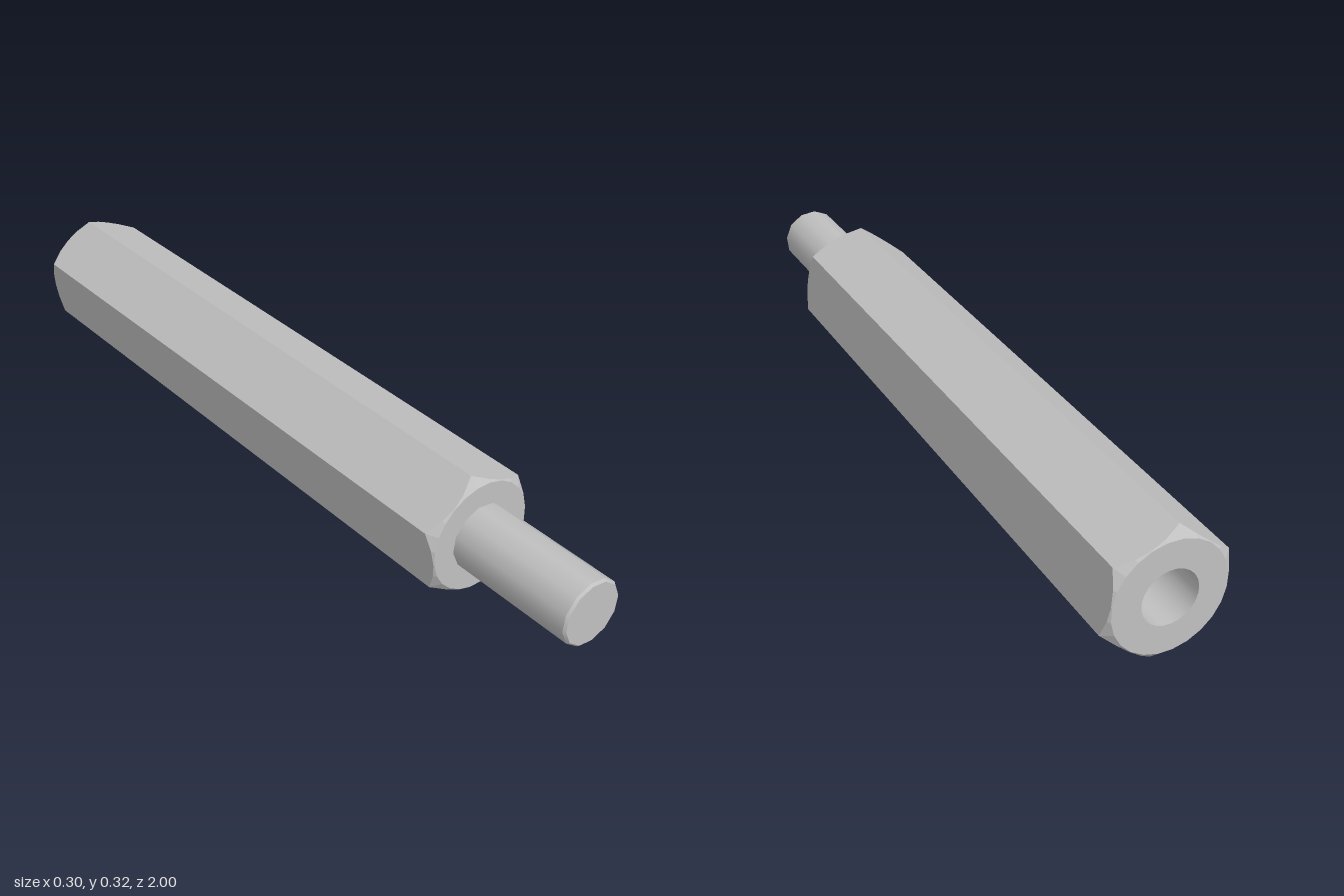
import * as THREE from 'three';

const AXIS_HEIGHT = 0.16;
const PHASE = THREE.MathUtils.degToRad(7.9); // twist of the whole spacer about its axis
const APOTHEM = 0.139;
const FACE_R = 0.1375;   // round end faces left by the chamfers
const STUD_R = 0.082;
const HOLE_R = 0.068;
const BACK = -1, SHOULDER = 0.665, TIP = 1, HOLE_END = -0.5;

// Surface of revolution about z; profile points are [radius, z]
function revolve(profile, segments) {
  const points = profile.map(([r, z]) => new THREE.Vector2(r, z));
  return new THREE.LatheGeometry(points, segments, PHASE).rotateX(Math.PI / 2);
}

// Hexagonal sleeve whose corners are cut back by a cone at both ends
function hexSleeve() {
  const base = revolve([[FACE_R, BACK], [APOTHEM, BACK], [APOTHEM, SHOULDER], [FACE_R, SHOULDER]], 24);
  const pos = base.attributes.position;
  const sector = Math.PI / 3;
  for (let i = 0; i < pos.count; i++) {
    const ring = i % 4;
    if (ring === 0 || ring === 3) continue;
    const angle = Math.atan2(pos.getY(i), pos.getX(i));
    const turn = (angle - PHASE) / sector;
    // hexagon corners sit at PHASE + 30 degrees + multiples of 60
    const off = (turn - Math.round(turn)) * sector;
    const r = APOTHEM / Math.cos(off);
    const depth = (r - FACE_R) * 0.95;
    pos.setXYZ(i, r * Math.cos(angle), r * Math.sin(angle),
      ring === 1 ? BACK + depth : SHOULDER - depth);
  }
  const flat = base.toNonIndexed();
  flat.computeVertexNormals();
  return flat;
}

export function createModel() {
  const model = new THREE.Group();
  model.name = 'hexStandoff';
  const metal = new THREE.MeshStandardMaterial({ color: 0xc0c0c0 });
  metal.name = 'greyMetal';

  const add = (name, geometry) => {
    const mesh = new THREE.Mesh(geometry, metal);
    mesh.name = name;
    mesh.position.y = AXIS_HEIGHT;
    model.add(mesh);
  };

  // Hexagonal body and its end faces
  add('hexBody', hexSleeve());
  add('frontFace', revolve([[FACE_R, SHOULDER], [0.06, SHOULDER]], 24));
  add('backFace', revolve([[HOLE_R, BACK], [FACE_R, BACK]], 24));

  // Blind hole in the back
  add('holeWall', revolve([[HOLE_R, HOLE_END], [HOLE_R, BACK]], 24));
  add('holeBottom', revolve([[0, HOLE_END], [HOLE_R, HOLE_END]], 24));

  // Stud at the front with a small bevel at its tip
  add('studSide', revolve([[STUD_R, SHOULDER], [STUD_R, TIP - 0.006]], 12));
  add('studBevel', revolve([[STUD_R, TIP - 0.006], [0.077, TIP]], 12));
  add('studTip', revolve([[0.077, TIP], [0, TIP]], 12));

  return model;
}
